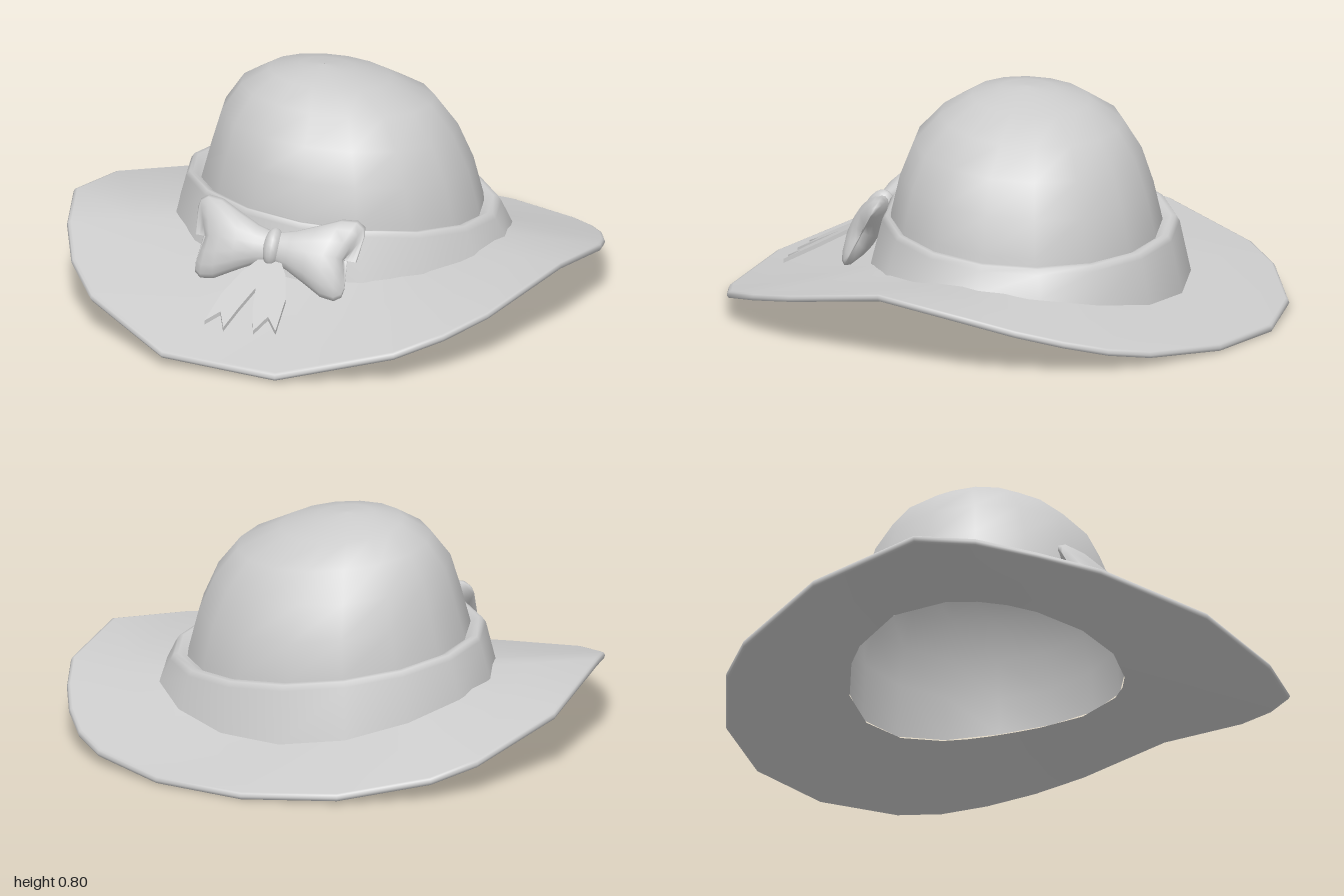
import * as THREE from 'three';

const mat = new THREE.MeshStandardMaterial({ color: 0xcccccc });
const openMat = new THREE.MeshStandardMaterial({ color: 0xcccccc, side: THREE.DoubleSide });

// Skin a list of closed rings (arrays of [x, y, z]) with smooth normals
function loft(rings) {
  const n = rings[0].length, index = [];
  for (let j = 0; j < rings.length - 1; j++) {
    for (let i = 0; i < n; i++) {
      const k = (i + 1) % n;
      const a = j * n + i, b = j * n + k, c = b + n, d = a + n;
      index.push(a, b, c, a, c, d);
    }
  }
  const g = new THREE.BufferGeometry();
  g.setAttribute('position', new THREE.Float32BufferAttribute(rings.flat(2), 3));
  g.setIndex(index);
  g.computeVertexNormals();
  return g;
}

function add(parent, name, geometry, material = mat) {
  const mesh = new THREE.Mesh(geometry, material);
  mesh.name = name;
  parent.add(mesh);
  return mesh;
}

const SIDES = 16;
const evenAngles = Array.from({ length: SIDES }, (_, i) => (i / SIDES) * Math.PI * 2);

// Ellipse around (cx, cz); height(a, x, z) gives y
const ellipse = (angles, cx, cz, rx, rz, height) => angles.map((a) => {
  const x = cx + rx * Math.sin(a), z = cz + rz * Math.cos(a);
  return [x, height(a, x, z), z];
});

// Height where the brim meets the band: lower at front and lowest at back
const seat = (a) => {
  const c = Math.cos(a);
  return 0.235 - 0.02 * Math.sin(a) - (c > 0 ? 0.035 : 0.115) * c * c;
};

// Irregular brim edge: x, top height, z, starting at the front towards +x
const EDGE = [
  [0.09, 0.03, 0.995], [0.49, 0.11, 0.87], [0.63, 0.145, 0.73], [0.74, 0.18, 0.56],
  [0.89, 0.25, 0.18], [0.93, 0.2, -0.16], [0.89, 0.155, -0.33], [0.83, 0.115, -0.49],
  [0.75, 0.08, -0.63], [0.64, 0.055, -0.75], [0.37, 0.03, -0.92], [0.03, 0.025, -1],
  [-0.31, 0.035, -0.95], [-0.61, 0.08, -0.8], [-0.74, 0.12, -0.67], [-0.91, 0.21, -0.31],
  [-0.935, 0.29, 0.1], [-0.89, 0.25, 0.32], [-0.81, 0.19, 0.52], [-0.68, 0.14, 0.71],
  [-0.34, 0.055, 0.96],
];

function brimGeometry() {
  const angles = EDGE.map(([x, , z]) => Math.atan2(x, z + 0.08));
  const inner = ellipse(angles, 0, -0.08, 0.51, 0.48, seat);
  // t runs from the opening to the edge, drop is the offset below the top face
  const ring = (t, drop) => EDGE.map((e, i) => e.map((v, k) => {
    const p = inner[i][k] + (v - inner[i][k]) * t;
    return k === 1 ? p - drop : p;
  }));
  return loft([
    ring(0, 0.025), ring(0.5, 0.025), ring(0.97, 0.025), ring(0.99, 0.023),
    ring(1, 0.012), ring(0.99, 0.002), ring(0.97, 0), ring(0.5, 0), ring(0, 0),
  ]);
}

function crownGeometry() {
  // centre x, centre z, radius x, radius z, height
  const profile = [
    [0, -0.08, 0.5, 0.475, 0.35], [0, -0.08, 0.465, 0.445, 0.48], [-0.01, -0.08, 0.42, 0.4, 0.6],
    [-0.02, -0.09, 0.345, 0.32, 0.7], [-0.045, -0.08, 0.22, 0.21, 0.765],
    [-0.055, -0.07, 0.1, 0.1, 0.792], [-0.06, -0.065, 0.001, 0.001, 0.8],
  ];
  const base = ellipse(evenAngles, 0, -0.08, 0.515, 0.485, (a) => seat(a) - 0.02);
  return loft([base, ...profile.map(([cx, cz, rx, rz, y]) =>
    ellipse(evenAngles, cx, cz, rx, rz, (a, x, z) => y - 0.06 * (x - cx) + 0.08 * (z - cz)))]);
}

function bandGeometry() {
  const top = (drop) => (a, x, z) => 0.355 - 0.09 * x + 0.07 * z - drop;
  return loft([
    ellipse(evenAngles, 0, -0.095, 0.6, 0.56, (a) => seat(a) - 0.012),
    ellipse(evenAngles, 0, -0.095, 0.562, 0.52, top(0.02)),
    ellipse(evenAngles, 0, -0.095, 0.55, 0.507, top(0.002)),
    ellipse(evenAngles, 0, -0.09, 0.535, 0.495, top(0)),
    ellipse(evenAngles, 0, -0.085, 0.515, 0.48, top(0.012)),
    ellipse(evenAngles, 0, -0.08, 0.48, 0.455, top(0.03)),
  ]);
}

// One puffed bow loop growing along +x, with a dented outer end
function loopGeometry() {
  // distance, half height, half thickness
  const sections = [
    [0.01, 0.055, 0.03], [0.06, 0.07, 0.04], [0.13, 0.105, 0.055], [0.2, 0.142, 0.055],
    [0.25, 0.148, 0.043], [0.275, 0.13, 0.025], [0.28, 0.1, 0.004], [0.27, 0.001, 0.001],
  ];
  return loft(sections.map(([d, h, t]) => evenAngles.map((a) => {
    const up = -Math.sin(a);
    return [d - 0.3 * d * d * (1 - Math.abs(up)) + (up > 0 ? 0.12 * d * up : 0), h * up, t * Math.cos(a)];
  })));
}

// Notched ribbon end drawn in plan (x, z), then sloped down over the brim
function tailGeometry(points) {
  const shape = new THREE.Shape(points.map(([x, z]) => new THREE.Vector2(x, z)));
  const g = new THREE.ExtrudeGeometry(shape, { depth: 0.015, bevelEnabled: false });
  g.rotateX(Math.PI / 2);
  const p = g.attributes.position;
  for (let i = 0; i < p.count; i++) p.setY(i, p.getY(i) + 0.285 - (p.getZ(i) - 0.5) * 0.52);
  g.computeVertexNormals();
  return g;
}

export function createModel() {
  const hat = new THREE.Group();
  hat.name = 'hat';
  add(hat, 'brim', brimGeometry());
  add(hat, 'crown', crownGeometry(), openMat);
  add(hat, 'band', bandGeometry());

  // Bow leaning back against the band
  const bow = new THREE.Group();
  bow.name = 'bow';
  bow.position.set(-0.075, 0.31, 0.49);
  bow.rotation.set(-0.5, 0, -0.06);
  hat.add(bow);
  for (const side of [1, -1]) {
    const loop = add(bow, side > 0 ? 'leftLoop' : 'rightLoop', loopGeometry());
    loop.rotation.y = side > 0 ? 0.12 : Math.PI - 0.12;
  }
  const knot = add(bow, 'knot', new THREE.SphereGeometry(1, 14, 10));
  knot.scale.set(0.035, 0.07, 0.05);

  // Ribbon tails
  add(hat, 'rightTail', tailGeometry([
    [-0.1, 0.5], [-0.06, 0.52], [-0.09, 0.64], [-0.125, 0.73], [-0.155, 0.82],
    [-0.185, 0.755], [-0.23, 0.8], [-0.205, 0.68], [-0.16, 0.58],
  ]));
  add(hat, 'leftTail', tailGeometry([
    [-0.09, 0.5], [-0.05, 0.5], [0, 0.58], [0.03, 0.68], [0.035, 0.81],
    [-0.01, 0.755], [-0.045, 0.82], [-0.075, 0.73], [-0.095, 0.62],
  ]));
  return hat;
}
